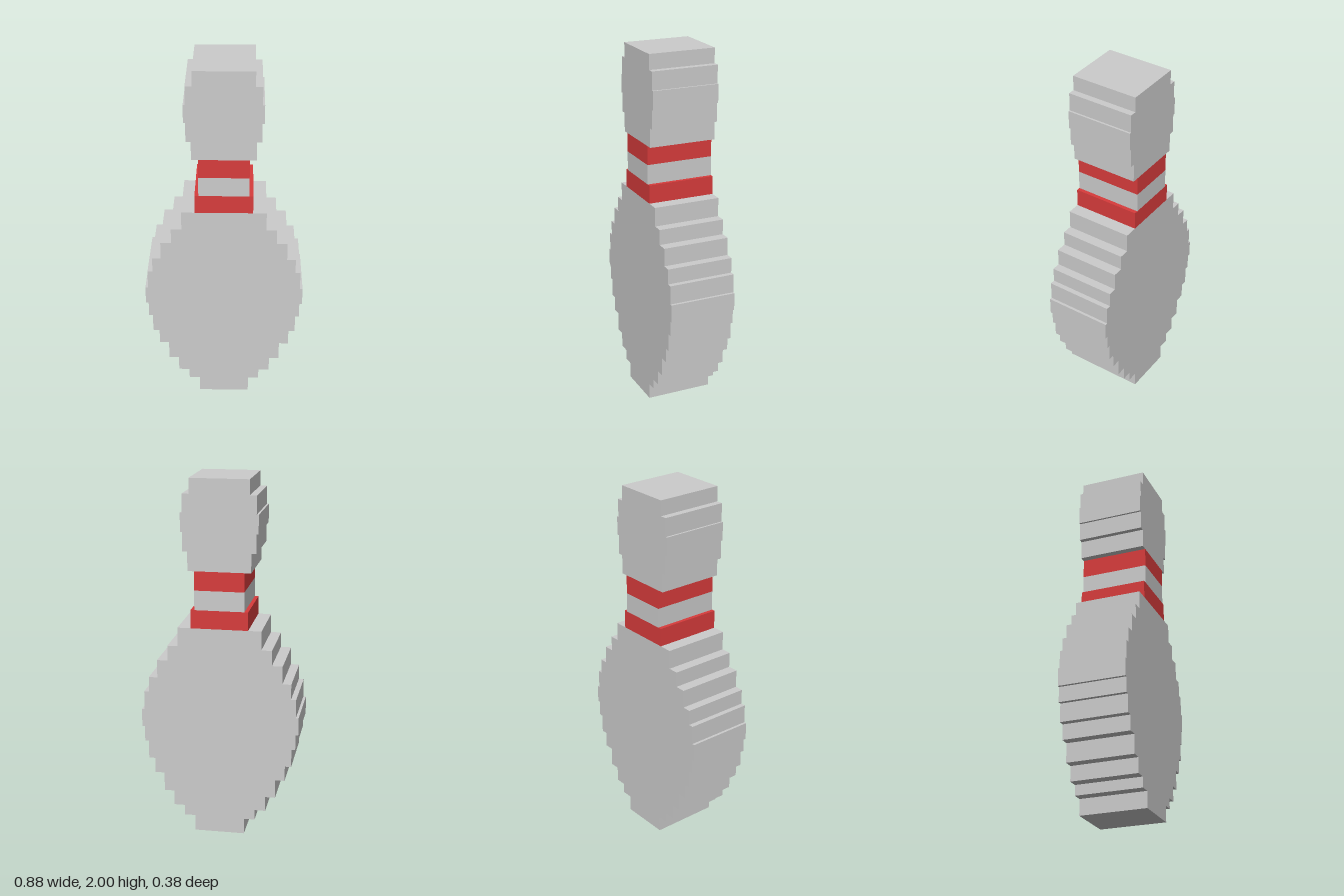
import * as THREE from 'three';

const DEPTH = 0.376;
const grey = new THREE.MeshStandardMaterial({ color: 0xcccccc, flatShading: true });
const red = new THREE.MeshStandardMaterial({ color: 0xd83c3c, flatShading: true });

// Extrudes a mirrored, stepped outline; each step is [top y, half width]
function steppedSlab(name, bottom, steps, material) {
  const right = [];
  let y = bottom;
  for (const [top, half] of steps) {
    right.push(new THREE.Vector2(half, y), new THREE.Vector2(half, top));
    y = top;
  }
  const left = right.map((p) => new THREE.Vector2(-p.x, p.y)).reverse();
  const geometry = new THREE.ExtrudeGeometry(new THREE.Shape([...right, ...left]), {
    depth: DEPTH,
    bevelEnabled: false,
  });
  geometry.translate(0, 0, -DEPTH / 2);
  const mesh = new THREE.Mesh(geometry, material);
  mesh.name = name;
  return mesh;
}

export function createModel() {
  const pin = new THREE.Group();
  pin.name = 'bowlingPin';

  // Wide belly, from the foot up to the shoulders
  pin.add(steppedSlab('belly', 0, [
    [0.09, 0.14], [0.148, 0.2], [0.232, 0.26], [0.338, 0.315], [0.423, 0.367],
    [0.525, 0.402], [0.61, 0.423], [0.71, 0.438], [0.815, 0.423], [0.9, 0.395],
    [1.0, 0.347], [1.085, 0.288], [1.19, 0.23],
  ], grey));

  // Neck with a red stripe on each side of a plain one
  pin.add(steppedSlab('lowerStripe', 1.19, [[1.292, 0.157]], red));
  pin.add(steppedSlab('neck', 1.292, [[1.4, 0.136]], grey));
  pin.add(steppedSlab('upperStripe', 1.4, [[1.505, 0.136]], red));

  // Rounded head
  pin.add(steppedSlab('head', 1.505, [
    [1.61, 0.172], [1.715, 0.199], [1.817, 0.21], [1.917, 0.199], [2.0, 0.162],
  ], grey));

  return pin;
}
